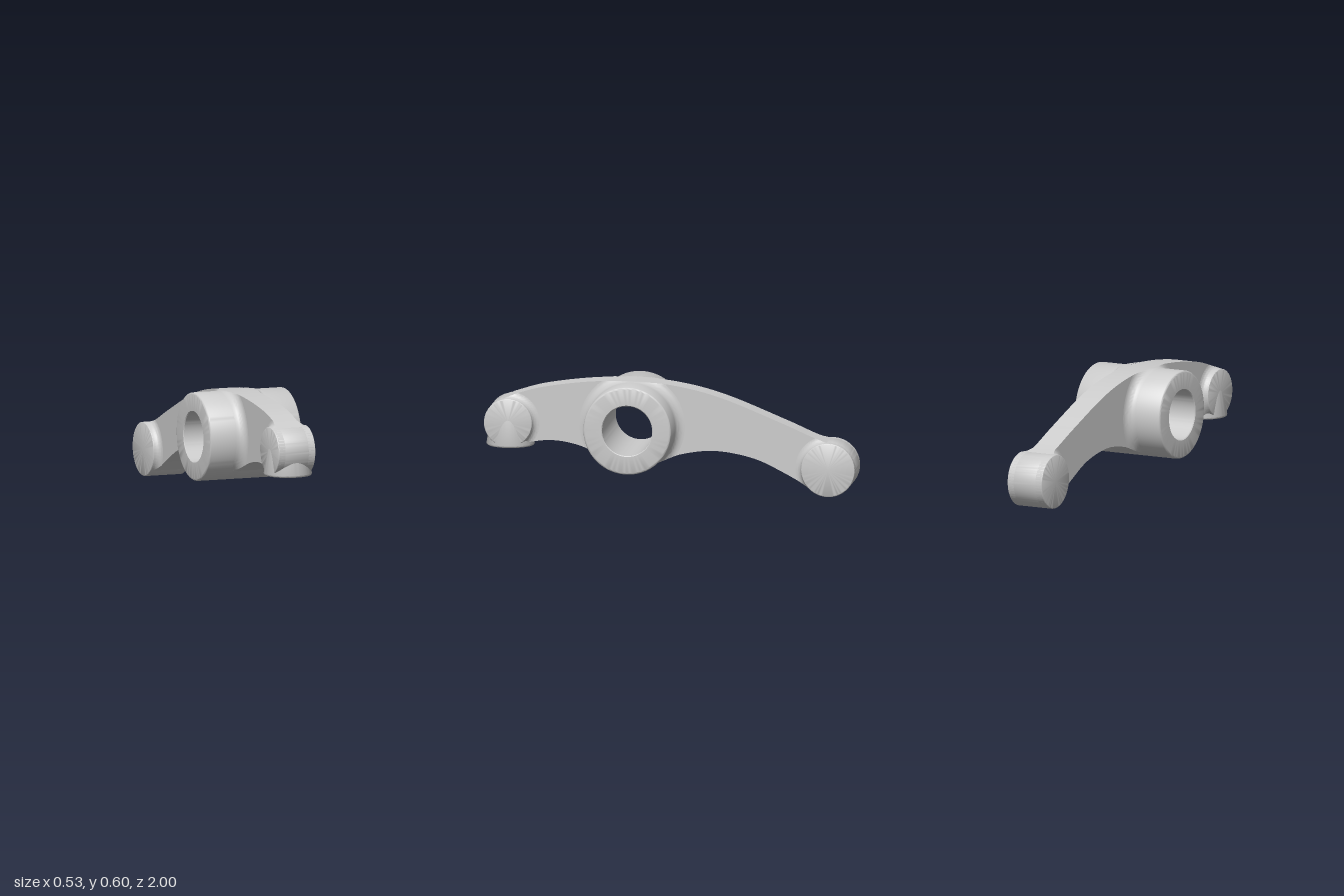
import * as THREE from 'three';
import { toCreasedNormals } from 'three/addons/utils/BufferGeometryUtils.js';

const V = (x, y) => new THREE.Vector2(x, y);
const WEB = 0.067; // half thickness of the arm web
const HUB = { u: 0.205, v: 0.36, r: 0.237, f: 0.048 };
const FRONT = { u: 0.87, v: 0.36, r: 0.13, f: 0.036 };
const REAR = { u: -0.855, v: 0.146, r: 0.145, f: 0.036 };

// Smooth run of points through a few knots
const run = (knots, n = 40) =>
  new THREE.SplineCurve(knots.map(([x, y]) => V(x, y))).getPoints(n);

// Side outline of the web: u is length (front positive), v is height
function armOutline() {
  const top = run([[0.915, 0.481], [0.82, 0.518], [0.68, 0.556], [0.45, 0.588], [0.205, 0.598],
    [-0.04, 0.575], [-0.287, 0.513], [-0.61, 0.385], [-0.8, 0.29], [-0.93, 0.265]].map(
    ([u, v], i) => (i === 8 ? [-0.78, 0.312] : [u, v])), 90);
  const rear = run([[-0.755, 0.041], [-0.61, 0.122], [-0.447, 0.195], [-0.244, 0.23],
    [-0.07, 0.21], [0.036, 0.172], [0.12, 0.141]]);
  const front = run([[0.29, 0.141], [0.36, 0.183], [0.464, 0.233], [0.56, 0.259],
    [0.65, 0.267], [0.743, 0.257], [0.82, 0.24]]);
  return [...top, ...rear, ...front];
}

function inside(poly, x, y) {
  let hit = false;
  for (let i = 0, j = poly.length - 1; i < poly.length; j = i++) {
    const a = poly[i], b = poly[j];
    if ((a.y > y) !== (b.y > y) && x < ((b.x - a.x) * (y - a.y)) / (b.y - a.y) + a.x) hit = !hit;
  }
  return hit;
}

// Quarter-circle corner of a profile, from angle a0 through 90 degrees
function corner(cx, cy, r, a0) {
  return [0, 1, 2, 3, 4].map((i) => {
    const a = a0 + (i / 4) * Math.PI / 2;
    return V(cx + r * Math.cos(a), cy + r * Math.sin(a));
  });
}

// Concave fillet around a round boss, trimmed where it would leave the web outline
function filletGeometry(boss, outline, side) {
  const { u, v, r, f } = boss, N = 144, M = 8, pos = [], idx = [];
  for (let i = 0; i <= N; i++) {
    const a = (i / N) * Math.PI * 2, c = Math.cos(a), s = Math.sin(a);
    let d = 0;
    while (d < f && inside(outline, u + (r + d) * c, v + (r + d) * s)) d += f / 60;
    d = Math.min(d, f);
    for (let j = 0; j <= M + 1; j++) {
      const t = d * Math.pow(Math.min(j / M, 1), 1.7);
      const h = j > M ? 0 : f - Math.sqrt(Math.max(0, f * f - (f - t) * (f - t)));
      pos.push(u + (r + t) * c, v + (r + t) * s, side * (WEB + h));
    }
  }
  const W = M + 2;
  for (let i = 0; i < N; i++) {
    for (let j = 0; j <= M; j++) {
      const a = i * W + j, b = a + 1, c = b + W, d = a + W;
      if (side > 0) idx.push(a, b, c, a, c, d);
      else idx.push(a, c, b, a, d, c);
    }
  }
  const g = new THREE.BufferGeometry();
  g.setAttribute('position', new THREE.Float32BufferAttribute(pos, 3));
  g.setIndex(idx);
  return g;
}

export function createModel() {
  const model = new THREE.Group();
  model.name = 'rockerArm';
  const body = new THREE.Group();
  body.name = 'armBody';
  body.rotation.y = -Math.PI / 2; // outline length runs along z
  model.add(body);
  const material = new THREE.MeshStandardMaterial({ color: 0xcccccc });

  const add = (name, geometry) => {
    const mesh = new THREE.Mesh(toCreasedNormals(geometry, 0.6), material);
    mesh.name = name;
    body.add(mesh);
    return mesh;
  };
  const addRound = (name, boss, profile) =>
    add(name, new THREE.LatheGeometry(profile, 96).rotateX(Math.PI / 2).translate(boss.u, boss.v, 0));

  // Curved web with an opening hidden inside the hub
  const outline = armOutline();
  const shape = new THREE.Shape(outline);
  shape.holes.push(new THREE.Path().absarc(HUB.u, HUB.v, 0.19, 0, Math.PI * 2, true));
  add('armWeb', new THREE.ExtrudeGeometry(shape, { depth: 2 * WEB, bevelEnabled: false, curveSegments: 32 })
    .translate(0, 0, -WEB));

  // Pivot hub with bore
  const H = 0.265, e = 0.012, bore = 0.135;
  addRound('pivotHub', HUB, [
    V(bore, -H + 0.004), V(bore + 0.004, -H),
    ...corner(HUB.r - e, -H + e, e, -Math.PI / 2),
    ...corner(HUB.r - e, H - e, e, 0),
    V(bore + 0.004, H), V(bore, H - 0.004), V(bore, -H + 0.004),
  ]);

  // Round bosses at both ends
  const B = 0.107, k = 0.006;
  for (const [name, boss] of [['frontBoss', FRONT], ['rearBoss', REAR]]) {
    addRound(name, boss, [
      V(0, -B), ...corner(boss.r - k, -B + k, k, -Math.PI / 2),
      ...corner(boss.r - k, B - k, k, 0), V(0, B),
    ]);
  }

  // Fillets blending hub and bosses into the web
  for (const [name, boss] of [['hubFillet', HUB], ['frontFillet', FRONT], ['rearFillet', REAR]]) {
    add(name + 'Left', filletGeometry(boss, outline, -1));
    add(name + 'Right', filletGeometry(boss, outline, 1));
  }

  // Tapered contact foot under the front boss
  add('contactFoot', new THREE.LatheGeometry([
    V(0, 0.227), ...corner(0.118, 0.238, 0.011, -Math.PI / 2),
    V(0.104, 0.392), V(0, 0.392),
  ], 96)).position.set(FRONT.u, 0, 0);

  return model;
}
